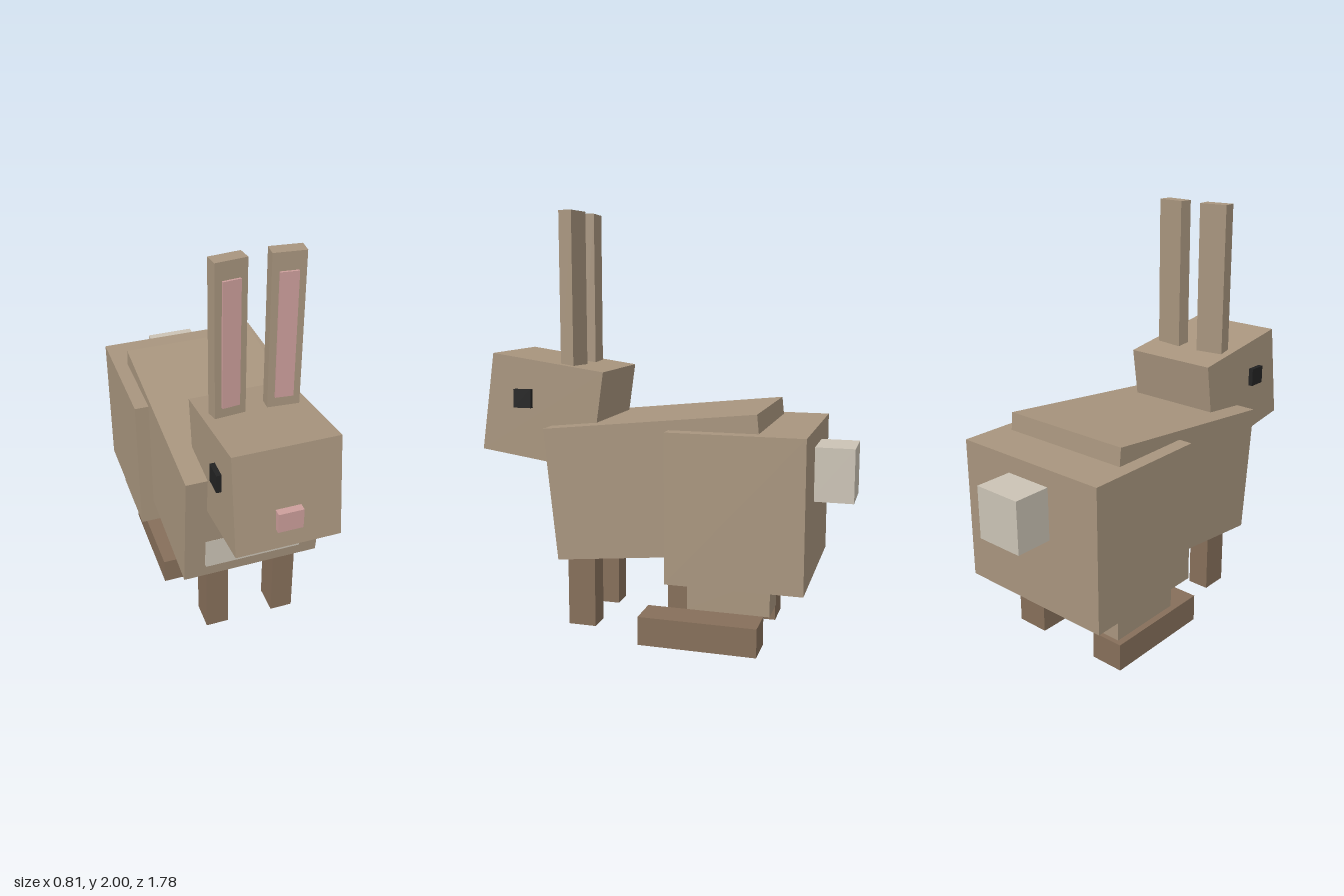
import * as THREE from 'three';

const mat = (name, color) => {
  const m = new THREE.MeshStandardMaterial({ color });
  m.name = name;
  return m;
};

export function createModel() {
  const fur = mat('fur', 0xa8957e);
  const legFur = mat('legFur', 0x866f5a);
  const paleFur = mat('paleFur', 0xcbc3b5);
  const pink = mat('pink', 0xcc9e9b);
  const black = mat('black', 0x222222);

  const model = new THREE.Group();
  model.name = 'rabbit';

  // Box from size and centre, with an optional pitch about x
  const box = (name, material, size, centre, pitch = 0, parent = model) => {
    const mesh = new THREE.Mesh(new THREE.BoxGeometry(...size), material);
    mesh.name = name;
    mesh.position.set(...centre);
    mesh.rotation.x = pitch;
    parent.add(mesh);
    return mesh;
  };

  // Torso slopes down to the front, haunches stay level
  box('body', fur, [0.67, 0.624, 1.01], [0, 0.742, -0.015], 0.105);
  box('haunches', fur, [0.805, 0.69, 0.625], [0, 0.675, -0.397]);
  box('tail', paleFur, [0.24, 0.25, 0.20], [0, 0.812, -0.789]);
  box('chestPatch', paleFur, [0.47, 0.155, 0.06], [0, 0.533, 0.45]);

  // Head with raised muzzle
  box('head', fur, [0.47, 0.47, 0.561], [0, 1.066, 0.569], -0.141);
  box('nose', pink, [0.112, 0.095, 0.08], [0, 1.012, 0.848]);

  for (const [side, s] of [['left', 1], ['right', -1]]) {
    box(side + 'Eye', black, [0.04, 0.088, 0.088], [s * 0.238, 1.126, 0.659]);

    // Ears turn slightly inward
    const ear = new THREE.Group();
    ear.name = side + 'Ear';
    ear.position.set(s * 0.123, 0, 0.445);
    ear.rotation.y = -s * 0.105;
    box(side + 'EarShell', fur, [0.142, 0.76, 0.066], [0, 1.62, 0], 0, ear);
    box(side + 'InnerEar', pink, [0.08, 0.58, 0.012], [0, 1.63, 0.037], 0, ear);
    model.add(ear);

    // Legs
    box(side + 'FrontLeg', legFur, [0.11, 0.455, 0.136], [s * 0.17, 0.2525, 0.382]);
    box(side + 'Thigh', fur, [0.168, 0.18, 0.375], [s * 0.294, 0.307, -0.373]);
    box(side + 'HindFoot', legFur, [0.166, 0.136, 0.56], [s * 0.248, 0.068, -0.215]);
  }

  return model;
}
